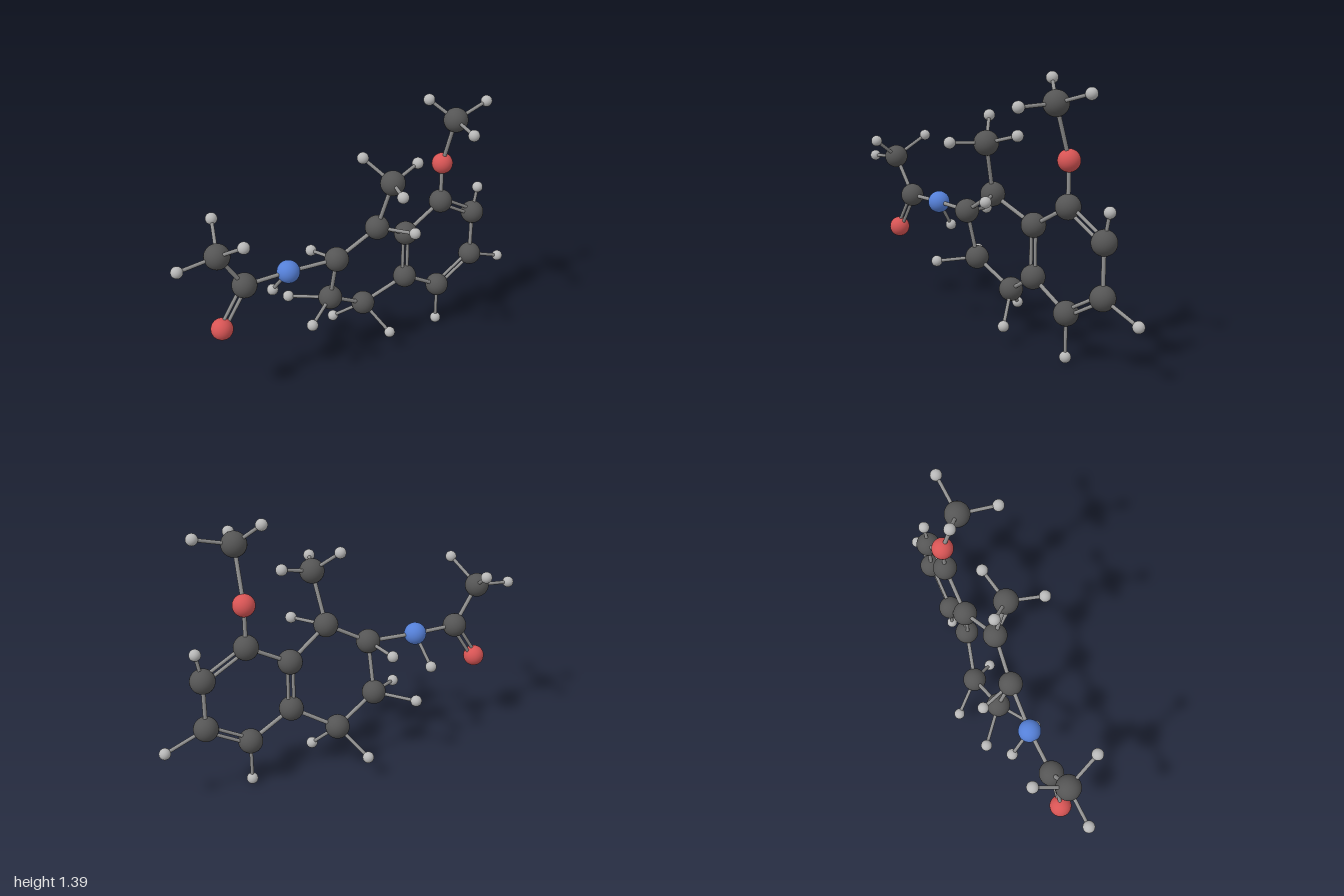
import * as THREE from 'three';

// Elements: plain name, radius and colour
const ELEMENTS = {
  C: { name: 'carbon', radius: 0.062, color: 0x555555 },
  O: { name: 'oxygen', radius: 0.055, color: 0xd85555 },
  N: { name: 'nitrogen', radius: 0.058, color: 0x5580d8 },
  H: { name: 'hydrogen', radius: 0.029, color: 0xb8b8b8 },
};

const PLANE = -0.05; // depth of the flat aromatic ring

// Heavy atoms: element and position
const ATOMS = {
  // flat ring
  ringA: ['C', 0.307, 0.646, PLANE],
  ringB: ['C', 0.307, 0.384, PLANE],
  ringC: ['C', 0.531, 0.254, PLANE],
  ringD: ['C', 0.755, 0.384, PLANE],
  ringE: ['C', 0.755, 0.646, PLANE],
  ringF: ['C', 0.531, 0.774, PLANE],
  // puckered ring
  puckerA: ['C', 0.083, 0.774, 0.012],
  puckerB: ['C', -0.142, 0.646, -0.015],
  puckerC: ['C', -0.142, 0.384, -0.085],
  puckerD: ['C', 0.083, 0.254, -0.118],
  // side groups
  methyl: ['C', 0.12, 1.041, 0.09],
  etherOxygen: ['O', 0.531, 0.993, PLANE],
  etherMethyl: ['C', 0.531, 1.263, 0.043],
  amine: ['N', -0.403, 0.646, -0.043],
  carbonyl: ['C', -0.641, 0.646, -0.047],
  carbonylOxygen: ['O', -0.772, 0.44, -0.053],
  endMethyl: ['C', -0.772, 0.849, -0.039],
};

// Hydrogens, listed under the atom that carries them
const HYDROGENS = {
  ringC: [[0.531, 0.032, PLANE]],
  ringD: [[0.966, 0.302, PLANE]],
  ringE: [[0.782, 0.79, PLANE]],
  puckerA: [[0.204, 0.774, 0.171]],
  puckerB: [[-0.188, 0.627, -0.193]],
  puckerC: [[-0.324, 0.347, 0.041], [-0.307, 0.367, -0.238]],
  puckerD: [[-0.019, 0.124, -0.266], [0.168, 0.105, 0.016]],
  methyl: [[0.019, 1.157, -0.022], [0.296, 1.09, 0.052], [0.056, 1.053, 0.266]],
  etherMethyl: [[0.424, 1.366, -0.041], [0.731, 1.32, 0.034], [0.489, 1.256, 0.238]],
  amine: [[-0.438, 0.495, -0.156]],
  endMethyl: [[-0.972, 0.83, -0.039], [-0.715, 0.96, 0.135], [-0.715, 0.96, -0.201]],
};

// Bonds between heavy atoms
const SINGLE = [
  ['ringB', 'ringC'], ['ringD', 'ringE'], ['ringF', 'ringA'],
  ['ringA', 'puckerA'], ['puckerA', 'puckerB'], ['puckerB', 'puckerC'],
  ['puckerC', 'puckerD'], ['puckerD', 'ringB'], ['puckerA', 'methyl'],
  ['ringF', 'etherOxygen'], ['etherOxygen', 'etherMethyl'],
  ['puckerB', 'amine'], ['amine', 'carbonyl'], ['carbonyl', 'endMethyl'],
];
const DOUBLE = [
  ['ringA', 'ringB'], ['ringC', 'ringD'], ['ringE', 'ringF'],
  ['carbonyl', 'carbonylOxygen'],
];

export function createModel() {
  const model = new THREE.Group();
  const atoms = new THREE.Group();
  atoms.name = 'atoms';
  const bonds = new THREE.Group();
  bonds.name = 'bonds';
  model.add(atoms, bonds);

  const sphere = new THREE.SphereGeometry(1, 32, 20);
  const rod = new THREE.CylinderGeometry(1, 1, 1, 14);
  const bondMaterial = new THREE.MeshStandardMaterial({ color: 0x909090 });
  const materials = {};
  for (const key in ELEMENTS) {
    materials[key] = new THREE.MeshStandardMaterial({ color: ELEMENTS[key].color });
  }

  function addAtom(element, position, label) {
    const mesh = new THREE.Mesh(sphere, materials[element]);
    mesh.name = label;
    mesh.position.copy(position);
    mesh.scale.setScalar(ELEMENTS[element].radius);
    atoms.add(mesh);
  }

  // Straight rod from a to b, shifted sideways by an optional offset
  function addRod(a, b, radius, label, offset = new THREE.Vector3()) {
    const along = b.clone().sub(a);
    const mesh = new THREE.Mesh(rod, bondMaterial);
    mesh.name = label;
    mesh.position.copy(a).add(b).multiplyScalar(0.5).add(offset);
    mesh.scale.set(radius, along.length(), radius);
    mesh.quaternion.setFromUnitVectors(new THREE.Vector3(0, 1, 0), along.normalize());
    bonds.add(mesh);
  }

  // Heavy atoms
  const at = {};
  for (const [key, [element, ...p]] of Object.entries(ATOMS)) {
    at[key] = new THREE.Vector3(...p);
    addAtom(element, at[key], `${ELEMENTS[element].name} ${key}`);
  }

  // Hydrogens with their thin bonds
  for (const [key, list] of Object.entries(HYDROGENS)) {
    for (const p of list) {
      const position = new THREE.Vector3(...p);
      addAtom('H', position, 'hydrogen');
      addRod(at[key], position, 0.009, 'hydrogenBond');
    }
  }

  for (const [a, b] of SINGLE) addRod(at[a], at[b], 0.0105, 'singleBond');

  // Double bonds: two parallel rods side by side in the ring plane
  for (const [a, b] of DOUBLE) {
    const side = at[b].clone().sub(at[a]).cross(new THREE.Vector3(0, 0, 1)).setLength(0.0145);
    for (const s of [-1, 1]) {
      addRod(at[a], at[b], 0.009, 'doubleBond', side.clone().multiplyScalar(s));
    }
  }
  return model;
}
